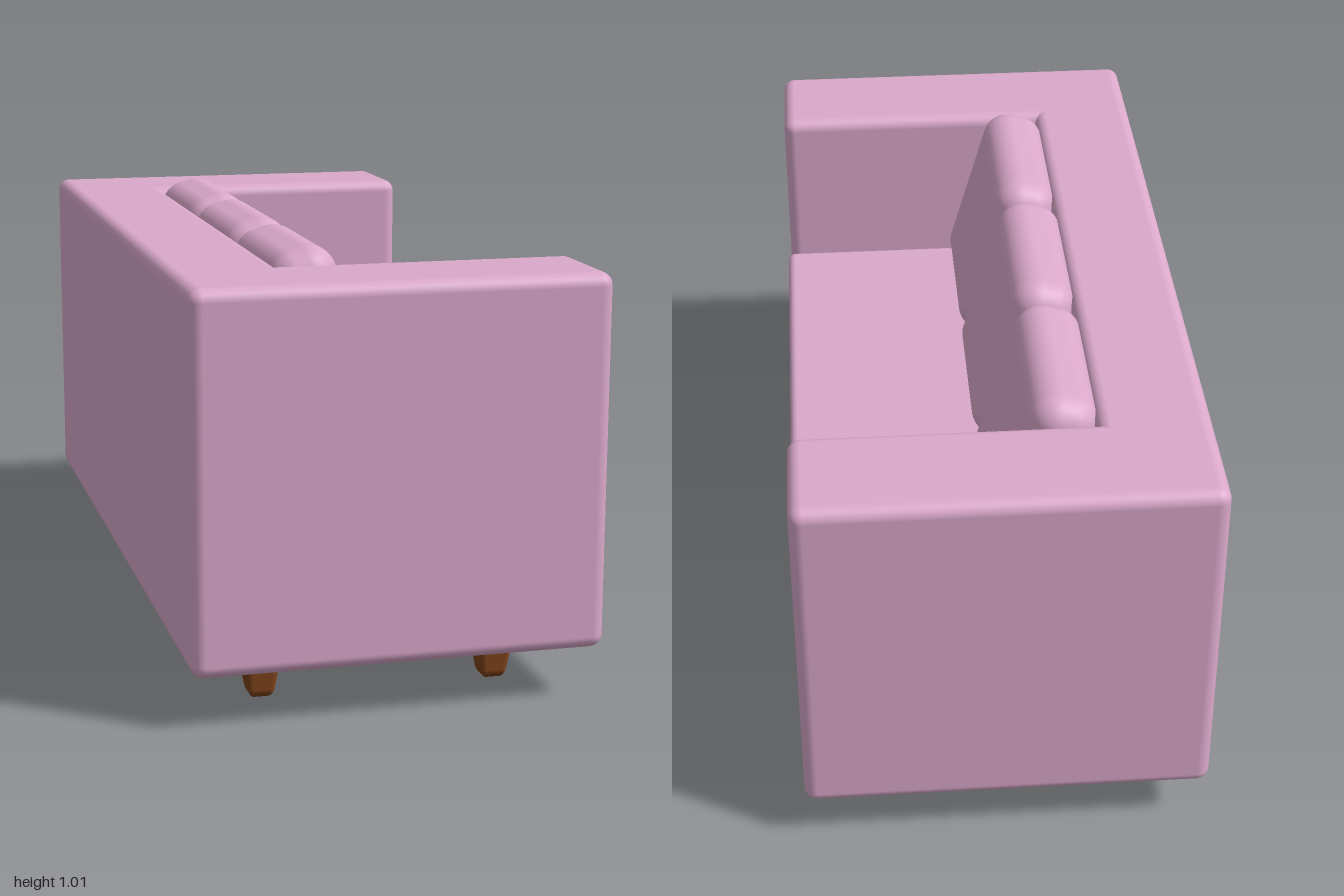
import * as THREE from 'three';
import { RoundedBoxGeometry } from 'three/addons/geometries/RoundedBoxGeometry.js';

const fabric = new THREE.MeshStandardMaterial({ color: 0xdba9cb });
const wood = new THREE.MeshStandardMaterial({ color: 0x7a4018 });

// Rounded box given by its [min, max] extent on each axis
function softBox(name, [x0, x1], [y0, y1], [z0, z1], radius) {
  const geometry = new RoundedBoxGeometry(x1 - x0, y1 - y0, z1 - z0, 5, radius);
  const mesh = new THREE.Mesh(geometry, fabric);
  mesh.name = name;
  mesh.position.set((x0 + x1) / 2, (y0 + y1) / 2, (z0 + z1) / 2);
  return mesh;
}

// Square leg with softened edges, narrowing towards the floor
function legGeometry() {
  const height = 0.16;
  const geometry = new RoundedBoxGeometry(0.1, height, 0.1, 4, 0.02);
  geometry.translate(0, height / 2, 0);
  const p = geometry.attributes.position;
  for (let i = 0; i < p.count; i++) {
    const s = 0.56 + 0.42 * (p.getY(i) / 0.12);
    p.setX(i, p.getX(i) * s);
    p.setZ(i, p.getZ(i) * s);
  }
  return geometry;
}

export function createModel() {
  const sofa = new THREE.Group();
  sofa.name = 'sofa';

  // Frame: overlapping base, backrest and arms that read as one body
  const depth = [-0.48, 0.47], r = 0.03;
  const frame = new THREE.Group();
  frame.name = 'frame';
  frame.add(
    softBox('base', depth, [0.12, 0.43], [-1, 1], r),
    softBox('backrest', [-0.48, -0.22], [0.12, 0.98], [-1, 1], r),
    softBox('rightArm', depth, [0.12, 0.98], [0.72, 1], r),
    softBox('leftArm', depth, [0.12, 0.98], [-1, -0.715], r),
  );
  sofa.add(frame);

  // Seat cushion
  sofa.add(softBox('seatCushion', [-0.24, 0.478], [0.425, 0.572], [-0.714, 0.719], 0.02));

  // Three back cushions leaning against the backrest
  const cushion = new RoundedBoxGeometry(0.16, 0.46, 0.474, 6, 0.065);
  for (let i = -1; i <= 1; i++) {
    const mesh = new THREE.Mesh(cushion, fabric);
    mesh.name = 'backCushion';
    mesh.position.set(-0.105, 0.785, 0.004 + i * 0.477);
    mesh.rotation.z = 0.28;
    sofa.add(mesh);
  }

  // Legs
  const leg = legGeometry();
  for (const x of [-0.283, 0.273]) {
    for (const z of [-0.78, 0.78]) {
      const mesh = new THREE.Mesh(leg, wood);
      mesh.name = 'leg';
      mesh.position.set(x, 0, z);
      sofa.add(mesh);
    }
  }
  return sofa;
}
